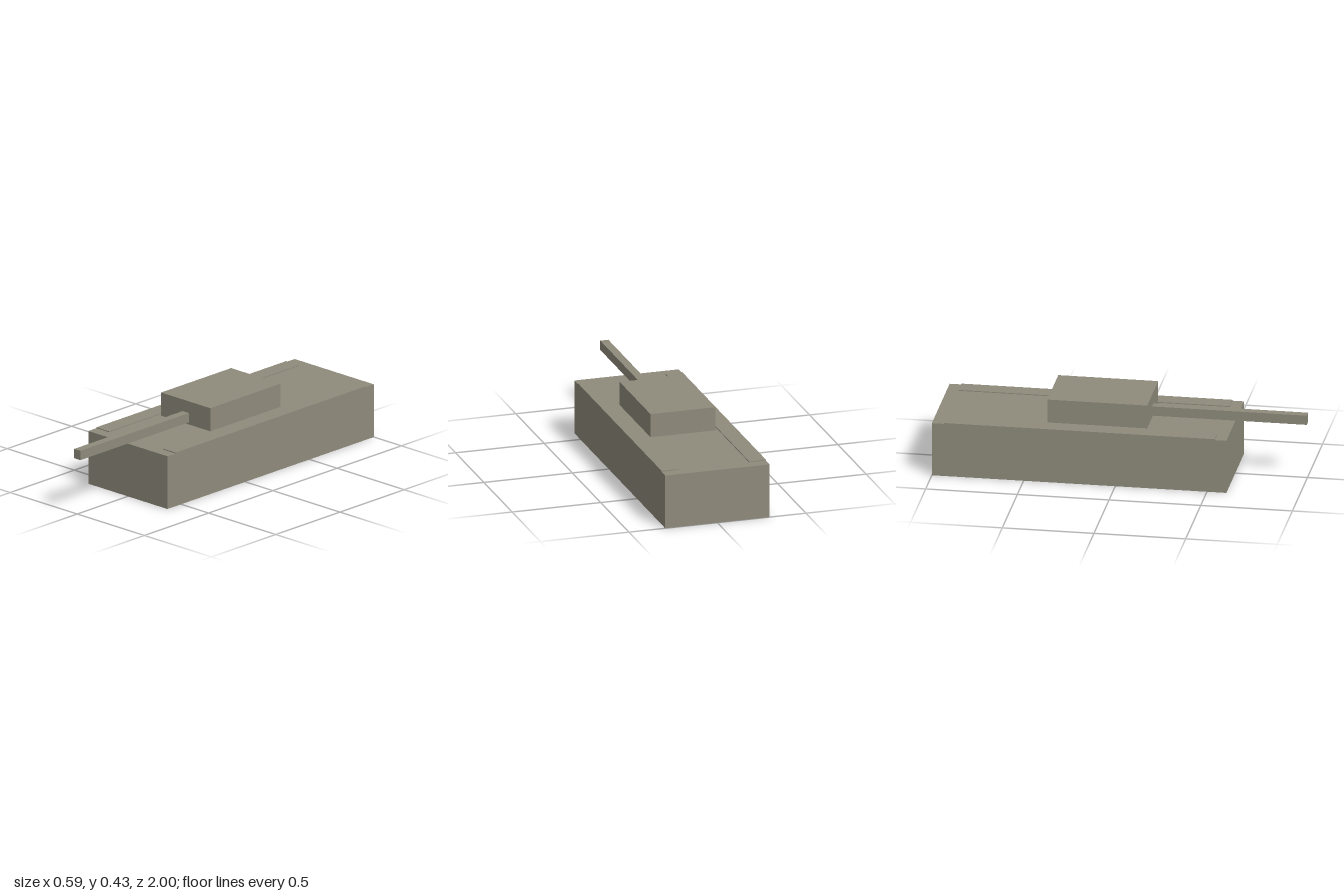
import * as THREE from 'three';

export function createModel() {
  const model = new THREE.Group();
  const material = new THREE.MeshStandardMaterial({ color: 0x8f8b7c, flatShading: true });

  // Box given by its extents along each axis
  function addBox(name, [x0, x1], [y0, y1], [z0, z1]) {
    const mesh = new THREE.Mesh(new THREE.BoxGeometry(x1 - x0, y1 - y0, z1 - z0), material);
    mesh.position.set((x0 + x1) / 2, (y0 + y1) / 2, (z0 + z1) / 2);
    mesh.name = name;
    model.add(mesh);
  }

  addBox('hull', [-0.295, 0.295], [0, 0.301], [-1, 0.606]);
  addBox('turret', [-0.183, 0.183], [0.301, 0.433], [-0.389, 0.156]);
  addBox('gunBarrel', [-0.023, 0.023], [0.313, 0.366], [0.156, 1]);

  // Thin raised track covers along both edges of the deck
  addBox('leftTrackCover', [0.2, 0.295], [0.301, 0.306], [-0.935, 0.543]);
  addBox('rightTrackCover', [-0.295, -0.2], [0.301, 0.306], [-0.935, 0.543]);

  return model;
}
